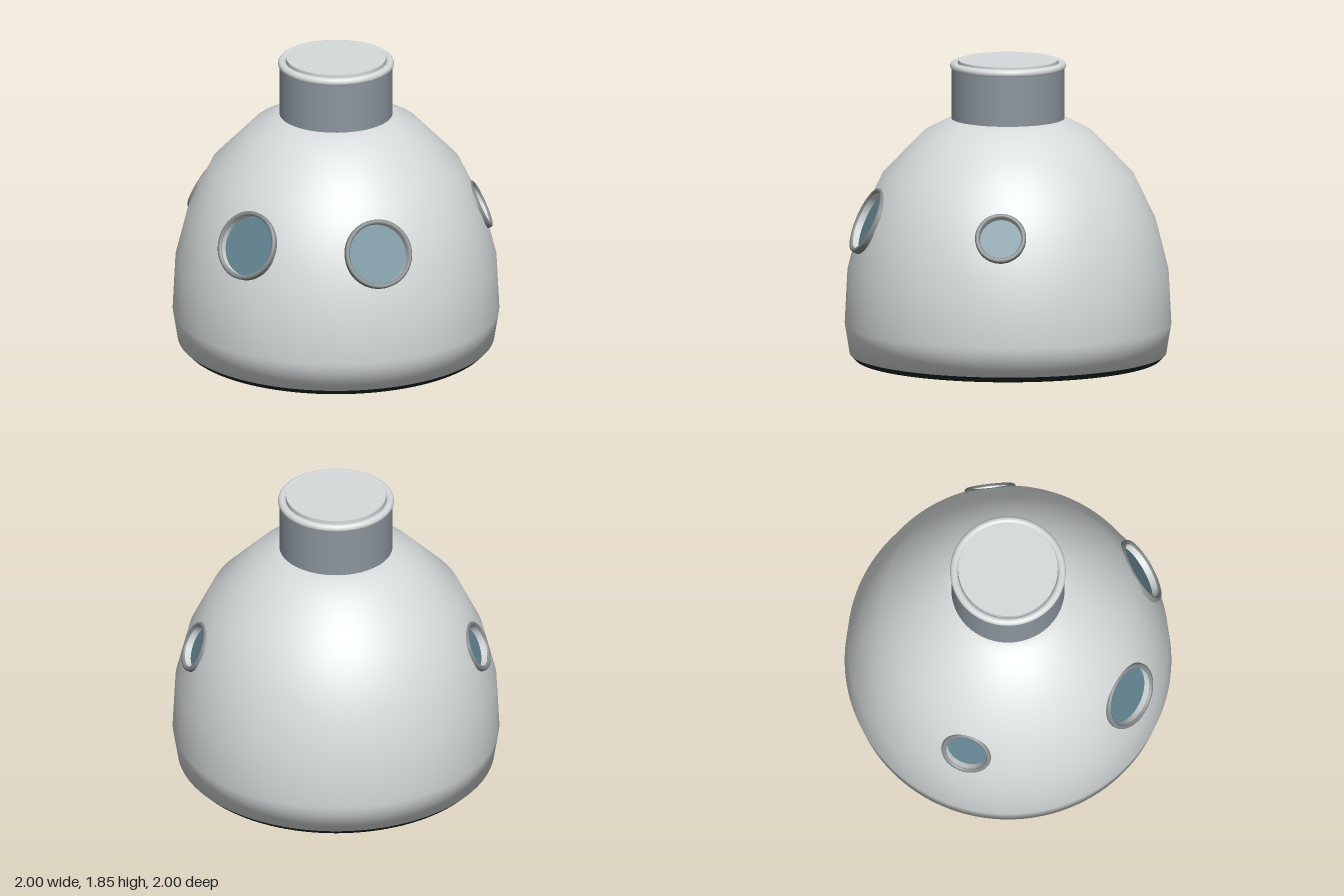
import * as THREE from 'three';

const paint = (name, color, side = THREE.FrontSide) => {
  const m = new THREE.MeshStandardMaterial({ color, side });
  m.name = name;
  return m;
};

// Windows: azimuth from the front in degrees, outer radius of the frame
const TILT = THREE.MathUtils.degToRad(25);
const WINDOWS = [
  { name: 'frontLeftWindow', az: 27.6, r: 0.213 },
  { name: 'frontRightWindow', az: -27.6, r: 0.213 },
  { name: 'leftWindow', az: 102, r: 0.157 },
  { name: 'rightWindow', az: -102, r: 0.157 },
].map((w) => {
  const a = THREE.MathUtils.degToRad(w.az);
  return {
    ...w,
    center: new THREE.Vector3(0.886 * Math.sin(a), 0.885, 0.886 * Math.cos(a)),
    normal: new THREE.Vector3(Math.cos(TILT) * Math.sin(a), Math.sin(TILT), Math.cos(TILT) * Math.cos(a)),
  };
});

// Hull outline as radius, height
const OUTLINE = [
  [0.97, 0.035], [1.0, 0.22], [0.983, 0.55], [0.905, 0.86],
  [0.77, 1.14], [0.52, 1.4], [0.4, 1.465], [0.34, 1.492],
].map((p) => new THREE.Vector2(...p));

function inWindow(p) {
  return WINDOWS.some((w) => {
    const d = p.clone().sub(w.center);
    const along = d.dot(w.normal);
    return Math.abs(along) < 0.3 && Math.sqrt(d.lengthSq() - along * along) < w.r - 0.015;
  });
}

// Fine surface of revolution with round openings left out for the windows
function hullGeometry() {
  const edge = (i) => {
    if (i < 0) return new THREE.Vector2(0, -1);
    if (i >= OUTLINE.length - 1) return new THREE.Vector2(0, 1);
    const d = OUTLINE[i + 1].clone().sub(OUTLINE[i]).normalize();
    return new THREE.Vector2(d.y, -d.x);
  };
  const normals2 = OUTLINE.map((_, i) => edge(i - 1).add(edge(i)).normalize());
  const rows = [];
  for (let i = 0; i < OUTLINE.length - 1; i++) {
    const steps = Math.ceil(OUTLINE[i].distanceTo(OUTLINE[i + 1]) / 0.02);
    const last = i === OUTLINE.length - 2 ? 1 : 0;
    for (let s = 0; s < steps + last; s++) {
      rows.push({
        p: OUTLINE[i].clone().lerp(OUTLINE[i + 1], s / steps),
        n: normals2[i].clone().lerp(normals2[i + 1], s / steps).normalize(),
      });
    }
  }
  const around = 360, points = [], normals = [], index = [];
  for (const { p, n } of rows) {
    for (let j = 0; j <= around; j++) {
      const a = (j / around) * Math.PI * 2, s = Math.sin(a), c = Math.cos(a);
      points.push(new THREE.Vector3(p.x * s, p.y, p.x * c));
      normals.push(new THREE.Vector3(n.x * s, n.y, n.x * c));
    }
  }
  const addFace = (a, b, c) => {
    const mid = points[a].clone().add(points[b]).add(points[c]).divideScalar(3);
    if (!inWindow(mid)) index.push(a, b, c);
  };
  for (let i = 0; i < rows.length - 1; i++) {
    for (let j = 0; j < around; j++) {
      const a = i * (around + 1) + j, b = a + around + 1;
      addFace(a, a + 1, b);
      addFace(a + 1, b + 1, b);
    }
  }
  const geo = new THREE.BufferGeometry().setFromPoints(points);
  geo.setAttribute('normal', new THREE.Float32BufferAttribute(normals.flatMap((n) => n.toArray()), 3));
  geo.setIndex(index);
  return geo;
}

const lathe = (pts, segments = 64) =>
  new THREE.LatheGeometry(pts.map((p) => new THREE.Vector2(...p)), segments);

export function createModel() {
  const model = new THREE.Group();
  const shell = paint('shellLightGrey', 0xd6dada);
  const metal = paint('neckGrey', 0x8b959e);
  const frame = paint('frameGrey', 0x858a8c);
  const glass = paint('windowBlue', 0x628491);
  const dark = paint('baseDark', 0x1c2828);

  const add = (parent, name, geo, mat, y = 0) => {
    const mesh = new THREE.Mesh(geo, mat);
    mesh.name = name;
    mesh.position.y = y;
    parent.add(mesh);
    return mesh;
  };

  add(model, 'hull', hullGeometry(), shell);
  add(model, 'basePlate', new THREE.CylinderGeometry(0.97, 0.935, 0.035, 128), dark, 0.0175);

  // Neck with a rolled rim and a flat hatch
  add(model, 'neck', new THREE.CylinderGeometry(0.347, 0.347, 0.35, 96), metal, 1.64);
  add(model, 'neckRim', new THREE.TorusGeometry(0.33, 0.025, 16, 96).rotateX(Math.PI / 2), shell, 1.815);
  add(model, 'hatch', new THREE.CylinderGeometry(0.305, 0.305, 0.05, 96), shell, 1.825);

  // Recessed round windows
  for (const { name, center, normal, r } of WINDOWS) {
    const win = new THREE.Group();
    win.name = name;
    win.position.copy(center);
    win.quaternion.setFromUnitVectors(new THREE.Vector3(0, 1, 0), normal);
    const inner = r - 0.03;
    add(win, 'windowFrame', lathe([
      [r, -0.06], [r, 0], [r - 0.005, 0.01], [r - 0.015, 0.014], [inner + 0.005, 0.01], [inner, 0],
    ]), frame);
    add(win, 'windowRecess', lathe([[inner, 0], [inner, -0.045]]), shell);
    add(win, 'windowGlass', new THREE.CircleGeometry(inner + 0.005, 64).rotateX(-Math.PI / 2), glass, -0.04);
    model.add(win);
  }
  return model;
}
